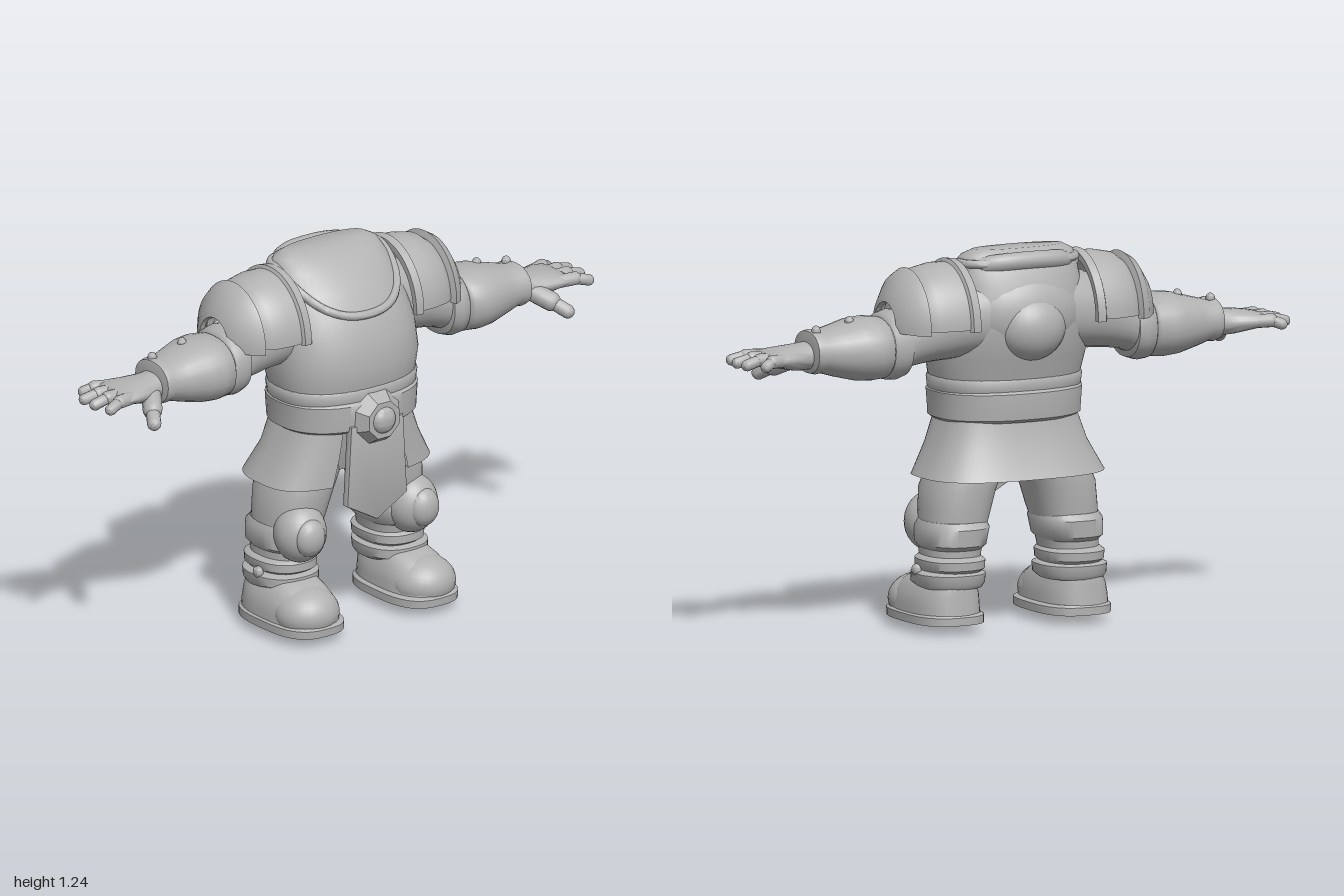
import * as THREE from 'three';
import { toCreasedNormals } from 'three/addons/utils/BufferGeometryUtils.js';

const spow = (v, p) => Math.sign(v) * Math.pow(Math.abs(v), p);

// Surface from a rule fn(u, v) -> [x, y, z]
function grid(fn, nu, nv) {
  const pos = [], idx = [];
  for (let j = 0; j <= nv; j++)
    for (let i = 0; i <= nu; i++) pos.push(...fn(i / nu, j / nv));
  for (let j = 0; j < nv; j++)
    for (let i = 0; i < nu; i++) {
      const a = j * (nu + 1) + i, b = a + nu + 1;
      idx.push(a, b, a + 1, a + 1, b, b + 1);
    }
  const g = new THREE.BufferGeometry();
  g.setAttribute('position', new THREE.Float32BufferAttribute(pos, 3));
  g.setIndex(idx);
  g.computeVertexNormals();
  return g;
}

// Upright loft, rows are [y, centre x, half width, z front, z back]
function loftY(rows, p = 0.85, seg = 36) {
  const end = r => [r[0], r[1], 1e-4, (r[3] + r[4]) / 2 + 1e-4, (r[3] + r[4]) / 2 - 1e-4];
  const all = [end(rows[0]), ...rows, end(rows[rows.length - 1])];
  return grid((u, v) => {
    const [y, cx, w, f, b] = all[Math.round(v * (all.length - 1))], a = (u % 1) * Math.PI * 2;
    return [cx + w * spow(Math.cos(a), p), y, (f + b) / 2 + (f - b) / 2 * spow(Math.sin(a), p)];
  }, seg, all.length - 1);
}

// Sideways loft, rows are [x, centre y, half height, centre z, half depth]
function loftX(rows, seg = 28) {
  const end = r => [r[0], r[1], 1e-4, r[3], 1e-4];
  const all = [end(rows[0]), ...rows, end(rows[rows.length - 1])];
  return grid((u, v) => {
    const [x, cy, h, cz, d] = all[Math.round(v * (all.length - 1))], a = (u % 1) * Math.PI * 2;
    return [x, cy + h * spow(Math.sin(a), 0.9), cz + d * spow(Math.cos(a), 0.9)];
  }, seg, all.length - 1);
}

const blob = (x, y, z, rx, ry, rz) =>
  new THREE.SphereGeometry(1, 28, 18).scale(rx, ry, rz).translate(x, y, z);

// Rounded rod between two points
function rod(a, b, r) {
  const A = new THREE.Vector3(...a), B = new THREE.Vector3(...b), d = B.clone().sub(A);
  const q = new THREE.Quaternion().setFromUnitVectors(new THREE.Vector3(0, 1, 0), d.clone().normalize());
  const m = new THREE.Matrix4().compose(A.add(B).multiplyScalar(0.5), q, new THREE.Vector3(1, 1, 1));
  return new THREE.CapsuleGeometry(r, d.length(), 6, 14).applyMatrix4(m);
}

export function createModel() {
  const model = new THREE.Group();
  model.name = 'armouredBody';
  const grey = new THREE.MeshStandardMaterial({ color: 0xb2b2b2, side: THREE.DoubleSide });
  grey.name = 'plain grey';

  const add = (name, geo, crease = 0.8, parent = model) => {
    const mesh = new THREE.Mesh(toCreasedNormals(geo, crease), grey);
    mesh.name = name;
    parent.add(mesh);
  };
  // Adds the part on the left and its mirror on the right
  const pair = (name, geo, crease) => {
    add(name + 'Left', geo, crease);
    const m = (geo.index ? geo.toNonIndexed() : geo.clone()).scale(-1, 1, 1);
    m.setIndex([...Array(m.attributes.position.count).keys()].reverse());
    add(name + 'Right', m, crease);
  };

  // Torso, sloping back to the closed neck
  const body = [
    [0.50, 0, 0.20, 0.12, -0.13], [0.62, 0, 0.225, 0.165, -0.15], [0.74, 0, 0.24, 0.185, -0.16],
    [0.785, 0, 0.25, 0.198, -0.17], [0.86, 0, 0.263, 0.207, -0.195], [0.95, 0, 0.26, 0.193, -0.215],
    [1.03, 0, 0.245, 0.16, -0.215], [1.10, 0, 0.225, 0.115, -0.20], [1.16, 0, 0.21, 0.06, -0.175],
    [1.195, 0, 0.195, 0.005, -0.15], [1.212, 0, 0.16, -0.03, -0.125]];
  add('torso', loftY(body, 0.85, 48), 1.0);
  add('backBulge', blob(0, 0.96, -0.165, 0.12, 0.11, 0.095));
  add('backPlate', blob(0, 1.0, -0.12, 0.2, 0.15, 0.11));

  // Collar follows the torso, dipping at the front
  const collar = [];
  for (let i = 0; i < 36; i++) {
    const a = i / 36 * Math.PI * 2, s = Math.sin(a);
    const y = 1.17 - 0.14 * Math.max(0, s) ** 1.5;
    const k = body.findIndex(r => r[0] > y), lo = body[k - 1], hi = body[k];
    const [, , w, f, b] = lo.map((v, n) => v + (hi[n] - v) * (y - lo[0]) / (hi[0] - lo[0]));
    collar.push(new THREE.Vector3(w * spow(Math.cos(a), 0.85), y, (f + b) / 2 + (f - b) / 2 * spow(s, 0.85)));
  }
  add('collar', new THREE.TubeGeometry(new THREE.CatmullRomCurve3(collar, true), 96, 0.014, 10, true));
  add('backCollar', new THREE.TubeGeometry(new THREE.CatmullRomCurve3([
    [-0.19, 1.15, -0.08], [-0.11, 1.17, -0.145], [0, 1.175, -0.16], [0.11, 1.17, -0.145], [0.19, 1.15, -0.08]
  ].map(p => new THREE.Vector3(...p))), 40, 0.03, 12), 1);

  // Belt and buckle
  add('waistBand', loftY([[0.735, 0, 0.245, 0.195, -0.165], [0.75, 0, 0.253, 0.2, -0.172],
    [0.785, 0, 0.257, 0.204, -0.176], [0.795, 0, 0.25, 0.198, -0.17]]));
  add('belt', loftY([[0.65, 0, 0.235, 0.195, -0.165], [0.66, 0, 0.25, 0.207, -0.178],
    [0.70, 0, 0.252, 0.21, -0.182], [0.745, 0, 0.256, 0.21, -0.182], [0.755, 0, 0.245, 0.2, -0.17]]));
  add('buckle', new THREE.CylinderGeometry(0.065, 0.1, 0.05, 8).rotateY(Math.PI / 8)
    .rotateX(Math.PI / 2).translate(0, 0.69, 0.218), 0.4);
  add('buckleBoss', blob(0, 0.69, 0.238, 0.045, 0.045, 0.026));

  // Skirt, a thick sheet open at the front
  const skirt = [[0.67, 0.225, 0.18, 0.155], [0.57, 0.262, 0.18, 0.17], [0.47, 0.315, 0.178, 0.222],
    [0.47, 0.30, 0.163, 0.207], [0.57, 0.245, 0.165, 0.155], [0.67, 0.21, 0.165, 0.14], [0.67, 0.225, 0.18, 0.155]];
  add('skirt', grid((u, v) => {
    const t = 0.36 + u * (Math.PI * 2 - 0.72), c = Math.cos(t);
    const [y, w, f, b] = skirt[Math.round(v * 6)];
    return [w * spow(Math.sin(t), 0.7), y, (c > 0 ? f : b) * spow(c, 0.7)];
  }, 60, 6));

  // Pointed front panel
  const panel = new THREE.Shape([[-0.1, 0.67], [-0.115, 0.41], [0, 0.345], [0.115, 0.41], [0.1, 0.67]]
    .map(p => new THREE.Vector2(...p)));
  add('frontPanel', new THREE.ExtrudeGeometry(panel,
    { depth: 0.016, bevelSize: 0.006, bevelThickness: 0.006, bevelSegments: 2 }).translate(0, 0, 0.185), 0.5);

  // Legs
  pair('leg', loftY([[0.11, 0.22, 0.085, 0.07, -0.12], [0.2, 0.215, 0.09, 0.085, -0.125],
    [0.28, 0.208, 0.098, 0.10, -0.13], [0.35, 0.195, 0.108, 0.115, -0.135], [0.43, 0.18, 0.115, 0.13, -0.142],
    [0.5, 0.15, 0.115, 0.13, -0.14], [0.58, 0.11, 0.105, 0.12, -0.13]]), 1);
  pair('kneeWrap', loftY([[0.24, 0.212, 0.092, 0.09, -0.13], [0.255, 0.212, 0.105, 0.115, -0.15],
    [0.31, 0.205, 0.11, 0.12, -0.154], [0.33, 0.203, 0.102, 0.11, -0.135]]));
  pair('shinWrap', loftY([[0.165, 0.216, 0.09, 0.08, -0.13], [0.178, 0.216, 0.103, 0.1, -0.148],
    [0.205, 0.216, 0.104, 0.1, -0.15], [0.218, 0.216, 0.09, 0.085, -0.125]]));
  pair('kneePad', blob(0.225, 0.31, 0.09, 0.088, 0.098, 0.085));
  pair('kneeBoss', blob(0.23, 0.31, 0.148, 0.055, 0.064, 0.042));
  pair('ankleCuff', loftY([[0.115, 0.22, 0.1, 0.07, -0.13], [0.13, 0.22, 0.112, 0.105, -0.14],
    [0.16, 0.22, 0.114, 0.105, -0.143], [0.17, 0.22, 0.095, 0.08, -0.13]]));
  pair('ankleStud', blob(0.325, 0.17, 0, 0.015, 0.02, 0.02));

  // Boots
  pair('boot', loftY([[0.025, 0.232, 0.115, 0.235, -0.138], [0.06, 0.232, 0.113, 0.228, -0.135],
    [0.095, 0.23, 0.107, 0.21, -0.132], [0.125, 0.228, 0.092, 0.175, -0.13], [0.145, 0.225, 0.08, 0.13, -0.125],
    [0.16, 0.222, 0.075, 0.07, -0.12]], 0.75), 1);
  pair('sole', loftY([[0, 0.23, 0.124, 0.243, -0.142], [0.026, 0.23, 0.124, 0.245, -0.142],
    [0.034, 0.23, 0.112, 0.23, -0.135]], 0.7), 0.6);
  pair('toeCap', blob(0.235, 0.055, 0.135, 0.11, 0.085, 0.107));

  // Shoulder plates, arched over the arm
  const arch = (pts, start, len) => new THREE.LatheGeometry(pts.map(([x, r]) => new THREE.Vector2(r, x)), 36, start, len)
    .rotateZ(-Math.PI / 2).scale(1, 1, 0.9).translate(0, 0.975, -0.05);
  pair('shoulderPlate', arch([[0.22, 0.18], [0.22, 0.198], [0.29, 0.2], [0.35, 0.188], [0.395, 0.155],
    [0.42, 0.11], [0.40, 0.1], [0.375, 0.145], [0.33, 0.172], [0.22, 0.18]], Math.PI, Math.PI));
  pair('shoulderInnerRim', arch([[0.212, 0.185], [0.212, 0.207], [0.24, 0.21], [0.248, 0.195], [0.212, 0.185]],
    Math.PI * 0.99, Math.PI * 1.02));
  pair('shoulderOuterRim', arch([[0.375, 0.165], [0.385, 0.19], [0.415, 0.172], [0.455, 0.115], [0.465, 0.085],
    [0.45, 0.08], [0.42, 0.13], [0.375, 0.165]], Math.PI * 0.98, Math.PI * 1.04));

  // Arms and gauntlets
  pair('upperArm', loftX([[0.15, 1.0, 0.13, -0.05, 0.14], [0.25, 0.985, 0.125, -0.05, 0.135],
    [0.32, 0.965, 0.11, -0.045, 0.12], [0.38, 0.945, 0.1, -0.04, 0.11], [0.43, 0.925, 0.1, -0.035, 0.11],
    [0.5, 0.915, 0.085, -0.03, 0.1]]), 1);
  pair('elbowRoll', loftX([[0.4, 0.925, 0.085, -0.035, 0.09], [0.41, 0.922, 0.108, -0.035, 0.115],
    [0.44, 0.918, 0.114, -0.035, 0.122], [0.47, 0.915, 0.108, -0.035, 0.118], [0.485, 0.913, 0.09, -0.035, 0.1]]));
  pair('gauntlet', loftX([[0.47, 0.912, 0.09, -0.033, 0.108], [0.485, 0.912, 0.1, -0.033, 0.128],
    [0.53, 0.912, 0.104, -0.033, 0.136], [0.58, 0.912, 0.1, -0.032, 0.128], [0.65, 0.911, 0.082, -0.03, 0.105],
    [0.7, 0.912, 0.068, -0.028, 0.09], [0.72, 0.913, 0.072, -0.027, 0.092], [0.735, 0.913, 0.068, -0.026, 0.088],
    [0.74, 0.912, 0.05, -0.025, 0.06]]));
  for (const [x, y] of [[0.595, 1.005], [0.715, 0.983]]) pair('gauntletStud', blob(x, y, -0.05, 0.015, 0.018, 0.015));

  // Hands
  pair('palm', loftX([[0.71, 0.905, 0.045, -0.025, 0.058], [0.76, 0.9, 0.044, -0.022, 0.062],
    [0.8, 0.9, 0.04, -0.025, 0.075], [0.85, 0.903, 0.032, -0.03, 0.09], [0.89, 0.903, 0.024, -0.03, 0.09],
    [0.905, 0.902, 0.015, -0.03, 0.08]]), 1);
  const fingers = [[-0.095, 0.935, -0.125], [-0.052, 0.975, -0.068], [-0.01, 0.978, -0.008], [0.032, 0.965, 0.058]];
  for (const [z0, x1, z1] of fingers) {
    const xm = (0.875 + x1) / 2, zm = (z0 + z1) / 2;
    pair('fingerBase', rod([0.86, 0.903, z0], [xm, 0.905, zm], 0.022));
    pair('fingerTip', rod([xm, 0.905, zm], [x1, 0.893, z1], 0.0185));
  }
  pair('thumbBase', rod([0.765, 0.89, 0.01], [0.805, 0.86, 0.07], 0.032));
  pair('thumbTip', rod([0.805, 0.86, 0.07], [0.835, 0.833, 0.118], 0.023));

  return model;
}
